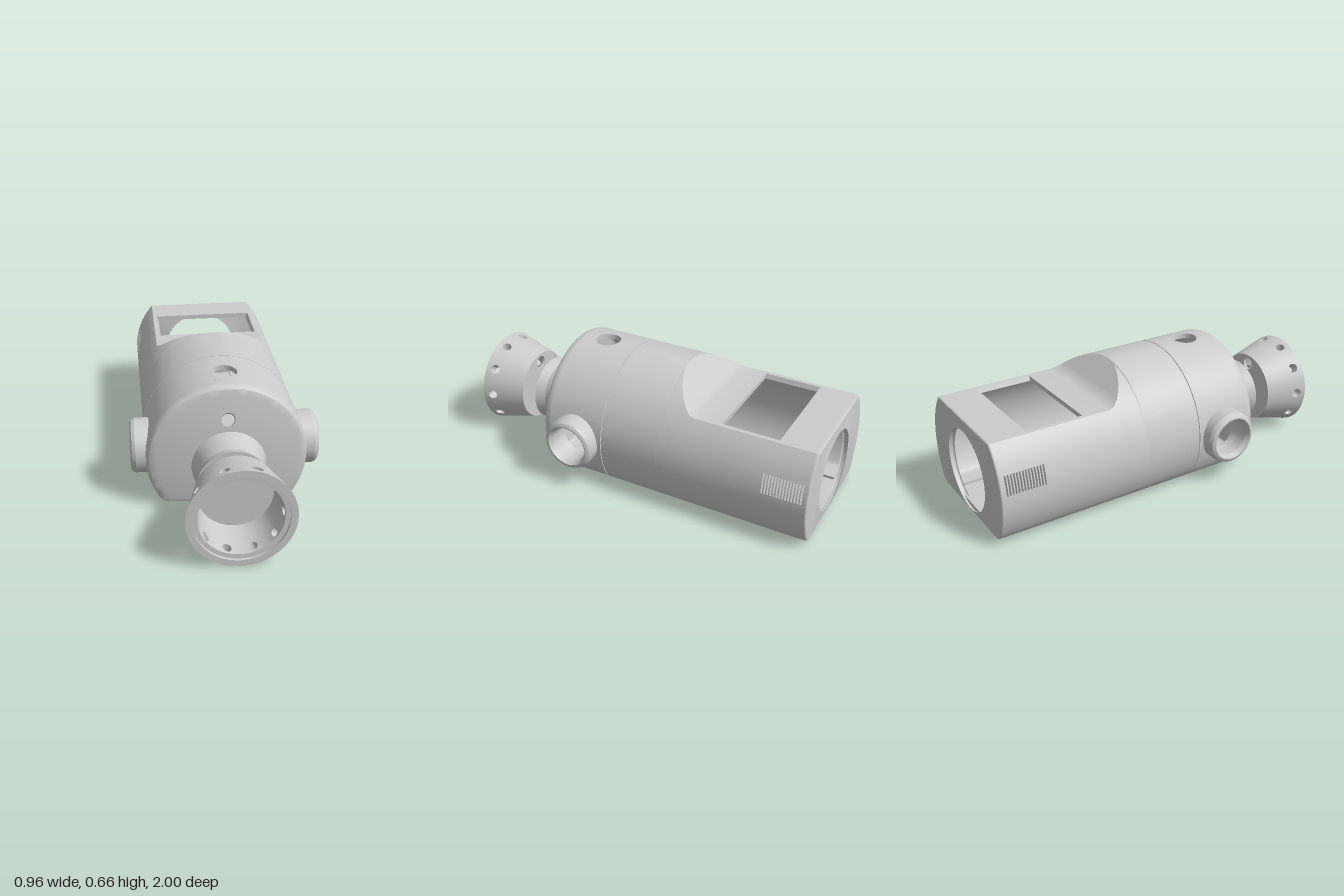
import * as THREE from 'three';
import { toCreasedNormals } from 'three/addons/utils/BufferGeometryUtils.js';

const R = 0.405, CY = 0.255, BOT = 0.02, F = 0.06, WALL = 0.025, FLAT = 0.525;
const CREASE = Math.asin((FLAT - CY) / R);
const FIX = Math.sqrt((R - F) ** 2 - (CY - BOT - F) ** 2); // corner fillet centre x
const FEND = Math.atan2(BOT + F - CY, FIX);
const lerp = THREE.MathUtils.lerp;
const material = new THREE.MeshStandardMaterial({ color: 0xcccccc, side: THREE.DoubleSide });

function mesh(name, geometry) {
  const m = new THREE.Mesh(geometry, material);
  m.name = name;
  return m;
}

// values from a to b in n steps
const steps = (a, b, n) => Array.from({ length: n + 1 }, (_, i) => lerp(a, b, i / n));
const sorted = (...lists) => [...new Set(lists.flat().map(v => +v.toFixed(5)))].sort((a, b) => a - b);
const mirrored = list => sorted(list, list.map(v => -v));

// Hull outline: |v| 0-1 top, 1-2 side arc, 2-3 corner fillet, 3-4 floor. top = null keeps the top round.
function section(v, top, d) {
  const s = Math.sign(v), a = Math.abs(v), r = R - d;
  const crease = top === null ? CREASE : Math.asin(Math.min(1, (top - d - CY) / r));
  if (a <= 1) {
    if (top !== null) return [v * r * Math.cos(crease), top - d];
    const t = lerp(Math.PI / 2, crease, a);
    return [s * r * Math.cos(t), CY + r * Math.sin(t)];
  }
  if (a <= 2) {
    const t = lerp(crease, FEND, a - 1);
    return [s * r * Math.cos(t), CY + r * Math.sin(t)];
  }
  if (a <= 3) {
    const t = lerp(FEND, -Math.PI / 2, a - 2);
    return [s * (FIX + (F - d) * Math.cos(t)), BOT + F + (F - d) * Math.sin(t)];
  }
  return [s * FIX * (4 - a), BOT + d];
}

// Collects quads, dropping collapsed triangles
function soup() {
  const pos = [], A = new THREE.Vector3(), B = new THREE.Vector3();
  const tri = (a, b, c) => {
    A.set(b[0] - a[0], b[1] - a[1], b[2] - a[2]);
    B.set(c[0] - a[0], c[1] - a[1], c[2] - a[2]);
    if (A.cross(B).length() > 1e-9) pos.push(...a, ...b, ...c);
  };
  return {
    quad(a, b, c, d) { tri(a, b, c); tri(a, c, d); },
    build(angle = 0.5) {
      const g = new THREE.BufferGeometry();
      g.setAttribute('position', new THREE.Float32BufferAttribute(pos, 3));
      return toCreasedNormals(g, angle);
    },
  };
}

// Thick sheet over a grid; cells for which cut() holds are left open. Each round hole fills its own tile.
function skin(us, ws, map, cut = () => false, holes = []) {
  const out = soup();
  const open = (i, j) => {
    if (i < 0 || j < 0 || i >= us.length - 1 || j >= ws.length - 1) return true;
    const u = (us[i] + us[i + 1]) / 2, w = (ws[j] + ws[j + 1]) / 2;
    return cut(u, w) || holes.some(h => Math.abs(u - h.u) < h.hu && Math.abs(w - h.w) < h.hw);
  };
  for (let i = 0; i < us.length - 1; i++) for (let j = 0; j < ws.length - 1; j++) {
    if (open(i, j)) continue;
    const c = [[us[i], ws[j]], [us[i], ws[j + 1]], [us[i + 1], ws[j + 1]], [us[i + 1], ws[j]]];
    const o = c.map(p => map(p[0], p[1], 0)), n = c.map(p => map(p[0], p[1], 1));
    out.quad(...o);
    out.quad(n[3], n[2], n[1], n[0]);
    [[i - 1, j], [i, j + 1], [i + 1, j], [i, j - 1]].forEach((nb, k) => {
      const q = (k + 1) % 4;
      if (open(...nb)) out.quad(o[q], o[k], n[k], n[q]);
    });
  }
  for (const h of holes) {
    const M = 48, rows = [[], [], [], []];
    for (let k = 0; k <= M; k++) {
      const c = Math.cos(k / M * Math.PI * 2), s = Math.sin(k / M * Math.PI * 2);
      const q = 1 / Math.max(Math.abs(c), Math.abs(s));
      const square = [h.u + c * q * h.hu, h.w + s * q * h.hw], round = [h.u + c * h.ru, h.w + s * h.rw];
      [[square, 0], [round, 0], [round, 1], [square, 1]].forEach(([p, d], r) => rows[r].push(map(p[0], p[1], d)));
    }
    for (let r = 0; r < 3; r++) for (let k = 0; k < M; k++)
      out.quad(rows[r][k], rows[r + 1][k], rows[r + 1][k + 1], rows[r][k + 1]);
  }
  return out.build();
}

// Flat plate with a round hole
function plate(points, hx, hy, hr, options) {
  const shape = new THREE.Shape(points.map(p => new THREE.Vector2(p[0], p[1])));
  shape.holes.push(new THREE.Path().absarc(hx, hy, hr, 0, Math.PI * 2, true));
  return toCreasedNormals(new THREE.ExtrudeGeometry(shape, { curveSegments: 48, bevelEnabled: false, ...options }), 0.5);
}

function lathe(points) {
  return toCreasedNormals(new THREE.LatheGeometry(points.map(p => new THREE.Vector2(...p)), 64), 0.4);
}

export function createModel() {
  const model = new THREE.Group();
  model.name = 'podCraft';

  // Rear hull: round at the front, sloping to a flat deck with a window, side vents
  const profile = [[-0.36, FLAT], [-0.33, 0.532], [-0.3, 0.553], [-0.19, CY + R]];
  const topAt = z => {
    if (z <= -0.36) return FLAT;
    for (let i = 1; i < profile.length; i++) {
      const [z0, y0] = profile[i - 1], [z1, y1] = profile[i];
      if (z <= z1) return lerp(y0, y1, (z - z0) / (z1 - z0));
    }
    return CY + R;
  };
  const angleV = y => 1 + (CREASE - Math.asin((y - CY) / R)) / (CREASE - FEND);
  const v0 = angleV(0.39), v1 = angleV(0.29), winV = 0.28 / (R * Math.cos(CREASE));
  const slots = steps(-0.97, -0.775, 13);
  const vs = mirrored([0, winV, ...steps(1, 2, 24), v0, v1, ...steps(2, 3, 6), 4]);
  const zs = sorted([-0.985, -0.8, -0.5, 0.121], slots, slots.map(z => z + 0.008),
    profile.map(p => p[0]), steps(-0.3, -0.19, 14));
  const hullCut = (v, z) => {
    const a = Math.abs(v);
    if (a < winV && z > -0.8 && z < -0.5) return true;
    return a > v0 && a < v1 && slots.some(s => z > s && z < s + 0.008);
  };
  model.add(mesh('rearHull', skin(vs, zs, (v, z, d) => [...section(v, topAt(z), d * WALL), z], hullCut)));

  // Rear wall with a large round opening
  const outline = vs.slice(0, -1).map(v => section(v, FLAT, 0));
  const rear = mesh('rearWall', plate(outline, 0, 0.245, 0.225,
    { depth: 0.01, bevelEnabled: true, bevelThickness: 0.01, bevelSize: 0.01, bevelOffset: -0.01, bevelSegments: 3 }));
  rear.position.z = -0.99;
  model.add(rear);

  // Front hull ring with a hatch hole on top and one port on each side
  const portV = angleV(CY), arcV = R * (CREASE - FEND), arcTop = R * (Math.PI / 2 - CREASE);
  const ports = [-1, 1].map(s => ({ u: s * portV, w: 0.28, hu: 0.26, hw: 0.13, ru: 0.105 / arcV, rw: 0.105 }));
  const hatch = { u: 0, w: 0.305, hu: 0.25, hw: 0.09, ru: 0.067 / arcTop, rw: 0.067 };
  const floorV = 4 - 0.1 / FIX;
  const fv = mirrored([...steps(0, 1, 16), ...steps(1, 2, 24), portV - 0.26, portV + 0.26,
    ...steps(2, 3, 6), floorV, 4]);
  model.add(mesh('frontHull', skin(fv, [0.125, 0.15, 0.215, 0.3, 0.395, 0.41, 0.44],
    (v, z, d) => [...section(v, null, d * WALL), z],
    (v, z) => Math.abs(v) > floorV && z < 0.3, [...ports, hatch])));

  // Underside port
  const under = mesh('undersidePort', plate([[-0.1, 0], [0.1, 0], [0.1, 0.175], [-0.1, 0.175]], 0, 0.087, 0.078, { depth: WALL }));
  under.rotation.x = Math.PI / 2;
  under.position.set(0, BOT + WALL, 0.125);
  const underFloor = mesh('undersidePortFloor', new THREE.CylinderGeometry(0.12, 0.12, 0.01, 48));
  underFloor.position.set(0, 0.06, 0.24);
  model.add(under, underFloor);

  // Domed nose with a rounded rim and a small hole above the neck
  const dome = (v, k, d) => {
    const t = 1 - k, [sx, sy] = section(v, null, d * WALL);
    const x = sx * t, y = (sy - CY) * t;
    let z = 0.515 - 0.25 * (x * x + y * y);
    if (t > 0.95) z = 0.44 + (z - 0.44) * Math.sqrt(Math.max(0, 1 - ((t - 0.95) / 0.05) ** 2));
    return [x, y + CY, z - d * WALL];
  };
  const domeHole = { u: 0, w: 0.42, hu: 0.25, hw: 0.11, ru: 0.175, rw: 0.087 };
  model.add(mesh('noseDome', skin(fv, sorted(steps(0, 0.05, 8), [0.12, 0.2, 0.31, 0.42, 0.53, 0.65, 0.8, 1]),
    dome, undefined, [domeHole])));

  // Side port collars
  for (const s of [-1, 1]) {
    const collar = mesh(s > 0 ? 'leftPortCollar' : 'rightPortCollar', lathe([[0.1, 0.35], [0.14, 0.35], [0.14, 0.455],
      [0.132, 0.472], [0.118, 0.48], [0.112, 0.48], [0.1, 0.455], [0.1, 0.35]]));
    collar.rotation.z = -s * Math.PI / 2;
    collar.position.set(0, CY, 0.285);
    model.add(collar);
  }

  // Waisted neck with a cupped front
  const neck = mesh('neck', lathe([[0, 0.53], [0.185, 0.53], [0.167, 0.585], [0.155, 0.645], [0.173, 0.7],
    [0.167, 0.7], [0.15, 0.65], [0, 0.65]]));
  neck.rotation.x = Math.PI / 2;
  neck.position.y = CY;
  model.add(neck);

  // Flared nozzle with ten round holes and a stepped lip
  const cone = (a, z, d) => {
    const k = (z - 0.77) / 0.23;
    const inner = z > 0.985 ? 0.222 : lerp(0.18, 0.2, k);
    const r = d ? inner : lerp(0.195, 0.255, k);
    return [r * Math.sin(a), CY + r * Math.cos(a), z];
  };
  const nozzleHoles = steps(0, 9, 9).map(i => ({
    u: (i + 0.5) * Math.PI / 5, w: 0.948, hu: Math.PI / 20, hw: 0.032, ru: 0.105, rw: 0.025 }));
  model.add(mesh('nozzle', skin(steps(0, Math.PI * 2, 80), [0.77, 0.916, 0.98, 0.985, 0.986, 1], cone, undefined, nozzleHoles)));

  // Nozzle floor with a cable hole
  const ring = steps(0, Math.PI * 2, 64).slice(0, -1).map(a => [0.184 * Math.cos(a), 0.184 * Math.sin(a)]);
  const floor = mesh('nozzleFloor', plate(ring, 0, 0.143, 0.035, { depth: 0.012 }));
  floor.position.set(0, CY, 0.772);
  model.add(floor);

  // Belly panel and the inner rails above it
  const panel = mesh('bellyPanel', new THREE.BoxGeometry(0.54, 0.01, 1.1));
  panel.position.set(0, 0.021, -0.435);
  model.add(panel);
  for (const s of [-1, 1]) {
    const rail = mesh('floorRail', new THREE.BoxGeometry(0.02, 0.015, 1.05));
    rail.position.set(s * 0.2, 0.052, -0.43);
    model.add(rail);
  }
  return model;
}
